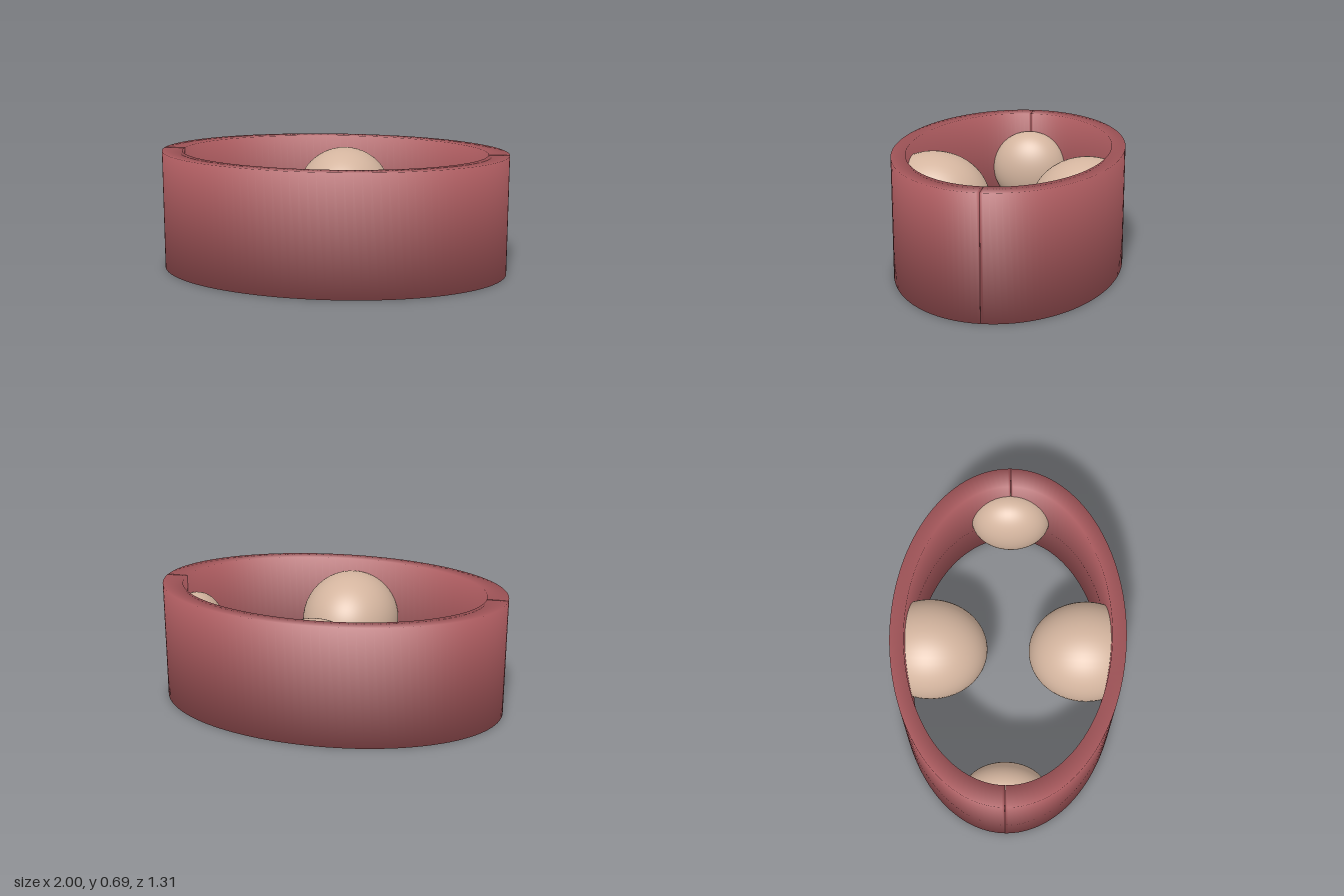
import * as THREE from 'three';

const RX = 1, RZ = 0.655, INNER = 0.88, HEIGHT = 0.69;

// Half of an oval band, with normals softened across its corners and ends
function halfBandGeometry() {
  const corners = [[1, 1], [1, 0], [INNER, 0], [INNER, 1]]; // [oval scale, top?]
  const angles = [0.001, 0.025];
  for (let i = 1; i < 64; i++) angles.push(0.025 + (Math.PI - 0.05) * i / 64);
  angles.push(Math.PI - 0.025, Math.PI - 0.001);

  const positions = [], normals = [], index = [];
  const last = angles.length - 1;
  angles.forEach((a, i) => {
    const c = Math.cos(a), s = Math.sin(a);
    for (const [scale, top] of corners) {
      positions.push(RX * scale * c, HEIGHT * top, RZ * scale * s);
      const n = new THREE.Vector3(c / RX, 0, s / RZ).normalize();
      if (scale < 1) n.negate();
      n.y = top ? 1 : -1;
      if (i === 0 || i === last) n.z -= 1;
      n.normalize();
      normals.push(n.x, n.y, n.z);
    }
  });
  for (let i = 0; i < last; i++) {
    for (let k = 0; k < 4; k++) {
      const a = i * 4 + k, b = i * 4 + (k + 1) % 4;
      index.push(b, a, a + 4, b, a + 4, b + 4);
    }
  }
  const e = last * 4;
  index.push(0, 1, 2, 0, 2, 3, e, e + 2, e + 1, e, e + 3, e + 2);

  const geometry = new THREE.BufferGeometry();
  geometry.setAttribute('position', new THREE.Float32BufferAttribute(positions, 3));
  geometry.setAttribute('normal', new THREE.Float32BufferAttribute(normals, 3));
  geometry.setIndex(index);
  return geometry;
}

export function createModel() {
  const group = new THREE.Group();
  const red = new THREE.MeshStandardMaterial({ name: 'dusty red', color: 0xa9595d });
  const beige = new THREE.MeshStandardMaterial({ name: 'warm beige', color: 0xd4b59f });

  // Two half bands meeting at seams on the left and right
  const band = halfBandGeometry();
  for (const [name, turn] of [['frontBand', 0], ['backBand', Math.PI]]) {
    const half = new THREE.Mesh(band, red);
    half.name = name;
    half.rotation.y = turn;
    group.add(half);
  }

  // Rounded pads, cut off inside the wall and pointing to the centre
  const dome = new THREE.SphereGeometry(1, 48, 32, 0, Math.PI * 2, 0, Math.PI * 0.64);
  function pad(name, x, z, radius, depth) {
    const mesh = new THREE.Mesh(dome, beige);
    mesh.name = name;
    mesh.position.set(x, HEIGHT / 2, z);
    mesh.scale.set(radius, depth, radius);
    mesh.quaternion.setFromUnitVectors(
      new THREE.Vector3(0, 1, 0), new THREE.Vector3(-x, 0, -z).normalize());
    group.add(mesh);
  }
  pad('frontPad', 0, 0.45, 0.29, 0.33);
  pad('backPad', 0, -0.45, 0.29, 0.33);
  pad('leftPad', 0.84, 0, 0.235, 0.165);
  pad('rightPad', -0.84, 0, 0.235, 0.165);

  return group;
}
